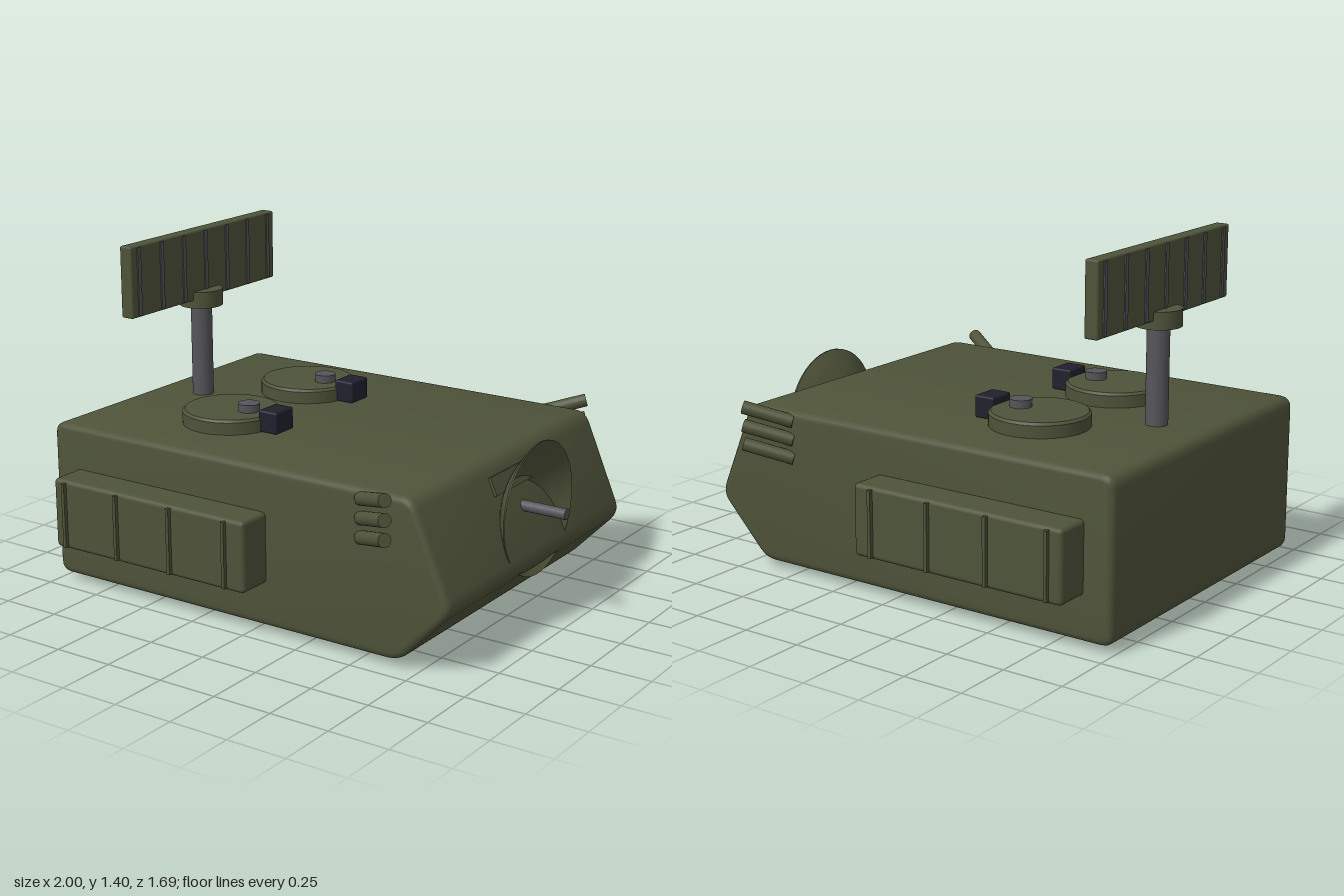
import * as THREE from 'three';
import { toCreasedNormals } from 'three/addons/utils/BufferGeometryUtils.js';
import { RoundedBoxGeometry } from 'three/addons/geometries/RoundedBoxGeometry.js';

// Closed outline with softly rounded corners
function roundedOutline(corners, radius) {
  const pts = corners.map(([x, y]) => new THREE.Vector2(x, y));
  const shape = new THREE.Shape();
  pts.forEach((p, i) => {
    const prev = pts[(i + pts.length - 1) % pts.length];
    const next = pts[(i + 1) % pts.length];
    const a = p.clone().add(prev.clone().sub(p).setLength(radius));
    const b = p.clone().add(next.clone().sub(p).setLength(radius));
    if (i === 0) shape.moveTo(a.x, a.y);
    else shape.lineTo(a.x, a.y);
    shape.quadraticCurveTo(p.x, p.y, b.x, b.y);
  });
  shape.closePath();
  return shape;
}

export function createModel() {
  const model = new THREE.Group();
  model.name = 'radarTurret';
  const material = (name, color) => {
    const m = new THREE.MeshStandardMaterial({ color });
    m.name = name;
    return m;
  };
  const green = material('olive green', 0x4e5339);
  const grey = material('steel grey', 0x55545a);
  const dark = material('dark glass', 0x20202e);

  const add = (name, geometry, mat, x, y, z) => {
    const mesh = new THREE.Mesh(geometry, mat);
    mesh.name = name;
    mesh.position.set(x, y, z);
    model.add(mesh);
    return mesh;
  };
  const cylinder = (r, h, sides = 32) => new THREE.CylinderGeometry(r, r, h, sides);

  // Wedge-nosed body, extruded across z
  const profile = roundedOutline(
    [[-1, 0.03], [0.67, 0.03], [0.9, 0.27], [0.725, 0.68], [-1, 0.68]], 0.05);
  const bevel = 0.025;
  const hull = new THREE.ExtrudeGeometry(profile, {
    depth: 1.37 - 2 * bevel, curveSegments: 4, bevelEnabled: true,
    bevelSize: bevel, bevelThickness: bevel, bevelOffset: -bevel, bevelSegments: 3,
  });
  hull.translate(0, 0, -(1.37 - 2 * bevel) / 2);
  add('body', toCreasedNormals(hull, 0.6), green, 0, 0, 0);

  // Turret ring underneath
  add('turretRing', cylinder(0.6, 0.05, 64), green, -0.045, 0.025, 0);

  // Search radar: mast, collar and ribbed panel
  add('mast', cylinder(0.045, 0.42), grey, -0.765, 0.88, 0);
  add('mastCollar', cylinder(0.092, 0.07), green, -0.765, 1.105, 0);
  add('radarPanel', new RoundedBoxGeometry(0.058, 0.295, 0.96, 2, 0.008), green, -0.765, 1.25, 0);
  for (let i = -3; i <= 3; i++) {
    add('radarRib', new THREE.BoxGeometry(0.068, 0.28, 0.02), grey, -0.765, 1.25, i * 0.144);
  }

  // Tracking dish: thin closed bowl opening towards +x
  const bowl = (t, lift) => new THREE.Vector2(0.27 * t, -0.12 * (1 - t * t) + lift);
  const dishProfile = [];
  for (let i = 0; i <= 12; i++) dishProfile.push(bowl(i / 12, -0.006));
  for (let i = 12; i >= 0; i--) dishProfile.push(bowl(i / 12, 0));
  const dish = add('trackingDish',
    toCreasedNormals(new THREE.LatheGeometry(dishProfile, 48), 0.6), green, 0.88, 0.475, 0);
  dish.rotation.z = -Math.PI / 2;
  const feed = add('dishFeed', cylinder(0.022, 0.26, 20), grey, 0.87, 0.475, 0);
  feed.rotation.z = Math.PI / 2;

  // Raised bar on the sloping nose behind the dish
  const bar = add('noseBar', new THREE.BoxGeometry(0.04, 0.075, 0.35), green, 0.757, 0.585, 0);
  bar.rotation.z = Math.atan2(0.175, 0.41);

  for (const side of [-1, 1]) {
    // Roof hatch with knob and periscope
    const z = side * 0.27;
    const hatch = [[0, 0.66], [0.2, 0.66], [0.2, 0.73], [0.19, 0.74], [0, 0.74]]
      .map(([r, y]) => new THREE.Vector2(r, y));
    add('hatch', toCreasedNormals(new THREE.LatheGeometry(hatch, 48), 0.6), green, -0.405, 0, z);
    add('hatchKnob', cylinder(0.045, 0.04, 16), grey, -0.315, 0.752, z);
    add('periscope', new RoundedBoxGeometry(0.09, 0.09, 0.118, 2, 0.008), dark, -0.181, 0.725, z);

    // Side stowage box with straps
    add('sideBox', new RoundedBoxGeometry(0.95, 0.29, 0.16, 2, 0.018), green,
      -0.405, 0.355, side * 0.75);
    for (const x of [-0.82, -0.552, -0.285, -0.017]) {
      add('sideBoxStrap', new THREE.BoxGeometry(0.014, 0.27, 0.04), green,
        x, 0.355, side * 0.826);
    }

    // Three splayed smoke launcher tubes
    const start = new THREE.Vector3(0.5, 0.637, side * 0.675);
    const end = new THREE.Vector3(0.672, 0.692, side * 0.778);
    const axis = end.clone().sub(start);
    const mid = start.clone().add(end).multiplyScalar(0.5);
    for (let i = 0; i < 3; i++) {
      const tube = add('smokeLauncher', cylinder(0.027, axis.length(), 20), green,
        mid.x, mid.y - i * 0.076, mid.z);
      tube.quaternion.setFromUnitVectors(new THREE.Vector3(0, 1, 0), axis.clone().normalize());
    }
  }
  return model;
}
